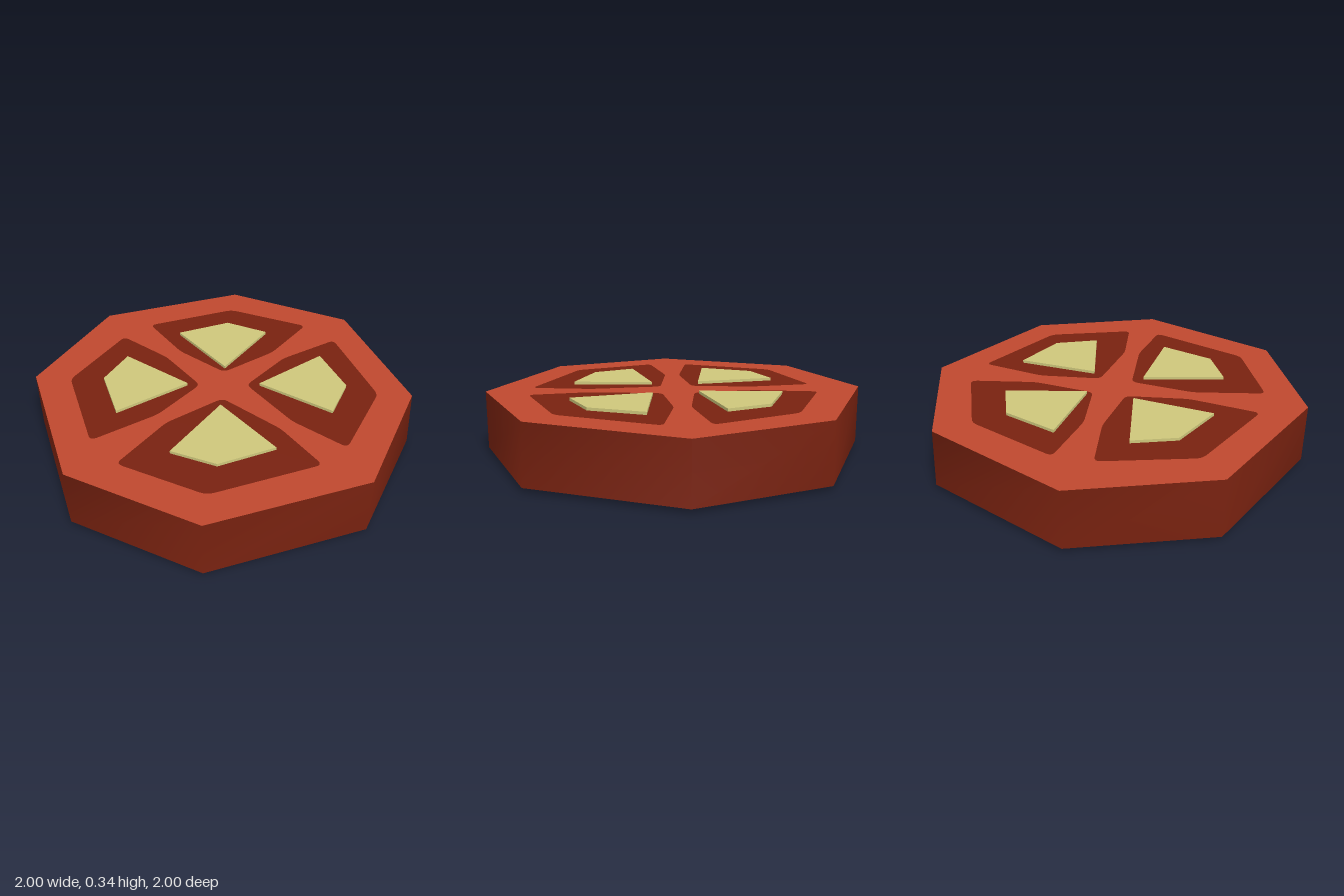
import * as THREE from 'three';

const BOTTOM = 0.02, TOP = 0.325, SEED = 0.015;

// Outlines as [x, z] points seen from above
const topRim = [[0, -1], [0.73, -0.665], [1, 0], [0.67, 0.745], [0, 0.995], [-0.75, 0.67], [-1, 0], [-0.67, -0.735]];
const bottomRim = [[0, -1], [0.74, -0.68], [1, 0], [0.67, 0.745], [0, 0.995], [-0.75, 0.67], [-1, 0], [-0.67, -0.75]];
const pockets = [
  [[-0.115, -0.775], [-0.05, -0.43], [-0.095, -0.1], [-0.41, -0.06], [-0.745, -0.115], [-0.545, -0.585]],
  [[0.105, -0.775], [0.6, -0.545], [0.765, -0.1], [0.45, -0.055], [0.075, -0.105], [0.035, -0.43]],
  [[0.765, 0.08], [0.545, 0.605], [0.105, 0.775], [0.03, 0.41], [0.075, 0.07], [0.45, 0.03]],
  [[-0.115, 0.765], [-0.605, 0.545], [-0.745, 0.08], [-0.42, 0.035], [-0.095, 0.075], [-0.05, 0.4]],
];
const seeds = [
  [[-0.21, -0.54], [-0.115, -0.125], [-0.545, -0.17], [-0.435, -0.45]],
  [[0.17, -0.58], [0.45, -0.47], [0.545, -0.25], [0.125, -0.15]],
  [[0.12, 0.125], [0.545, 0.16], [0.44, 0.445], [0.22, 0.545]],
  [[-0.135, 0.125], [-0.2, 0.545], [-0.475, 0.42], [-0.555, 0.2]],
];

// Shape for the top (s = 1) or the underside (s = -1), with optional rounded corners
function outline(points, s, radius = 0) {
  const p = points.map(([x, z]) => new THREE.Vector2(x, -s * z));
  if (!radius) return new THREE.Shape(p);
  const shape = new THREE.Shape();
  p.forEach((c, i) => {
    const toward = (q) => q.clone().sub(c).setLength(radius).add(c);
    const a = toward(p[(i + p.length - 1) % p.length]);
    const b = toward(p[(i + 1) % p.length]);
    if (i === 0) shape.moveTo(a.x, a.y); else shape.lineTo(a.x, a.y);
    shape.quadraticCurveTo(c.x, c.y, b.x, b.y);
  });
  shape.closePath();
  return shape;
}

// Smooth wall between the two rims
function skinGeometry() {
  const n = topRim.length, pos = [], index = [];
  bottomRim.forEach(([x, z]) => pos.push(x, BOTTOM, z));
  topRim.forEach(([x, z]) => pos.push(x, TOP, z));
  for (let i = 0; i < n; i++) {
    const j = (i + 1) % n;
    index.push(i, n + i, j, j, n + i, n + j);
  }
  const g = new THREE.BufferGeometry();
  g.setAttribute('position', new THREE.Float32BufferAttribute(pos, 3));
  g.setIndex(index);
  g.computeVertexNormals();
  return g;
}

export function createModel() {
  const material = (name, color) => {
    const m = new THREE.MeshStandardMaterial({ color });
    m.name = name;
    return m;
  };
  const flesh = material('red flesh', 0xbf482e);
  const dark = material('dark red', 0x792210);
  const seedMat = material('pale seed', 0xcec77b);

  const slice = new THREE.Group();
  slice.name = 'vegetableSlice';
  const add = (name, geometry, mat) => {
    const mesh = new THREE.Mesh(geometry, mat);
    mesh.name = name;
    slice.add(mesh);
  };

  add('skin', skinGeometry(), dark);

  // Cut faces with inset pockets and raised seeds, on both sides
  for (const s of [1, -1]) {
    const side = s > 0 ? 'top' : 'bottom';
    const y = s > 0 ? TOP : BOTTOM;
    const place = (g) => g.rotateX(-s * Math.PI / 2).translate(0, y, 0);

    const face = outline(s > 0 ? topRim : bottomRim, s);
    const pocketShapes = pockets.map((p) => outline(p, s, 0.035));
    face.holes = pocketShapes;
    add(side + 'Flesh', place(new THREE.ShapeGeometry(face, 4)), flesh);
    add(side + 'Pockets', place(new THREE.ShapeGeometry(pocketShapes, 4)), dark);

    const seedShapes = seeds.map((p) => outline(p, s));
    const seedDepth = s > 0 ? SEED : BOTTOM;
    add(side + 'Seeds', place(new THREE.ExtrudeGeometry(seedShapes, { depth: seedDepth, bevelEnabled: false })), seedMat);
  }
  return slice;
}
